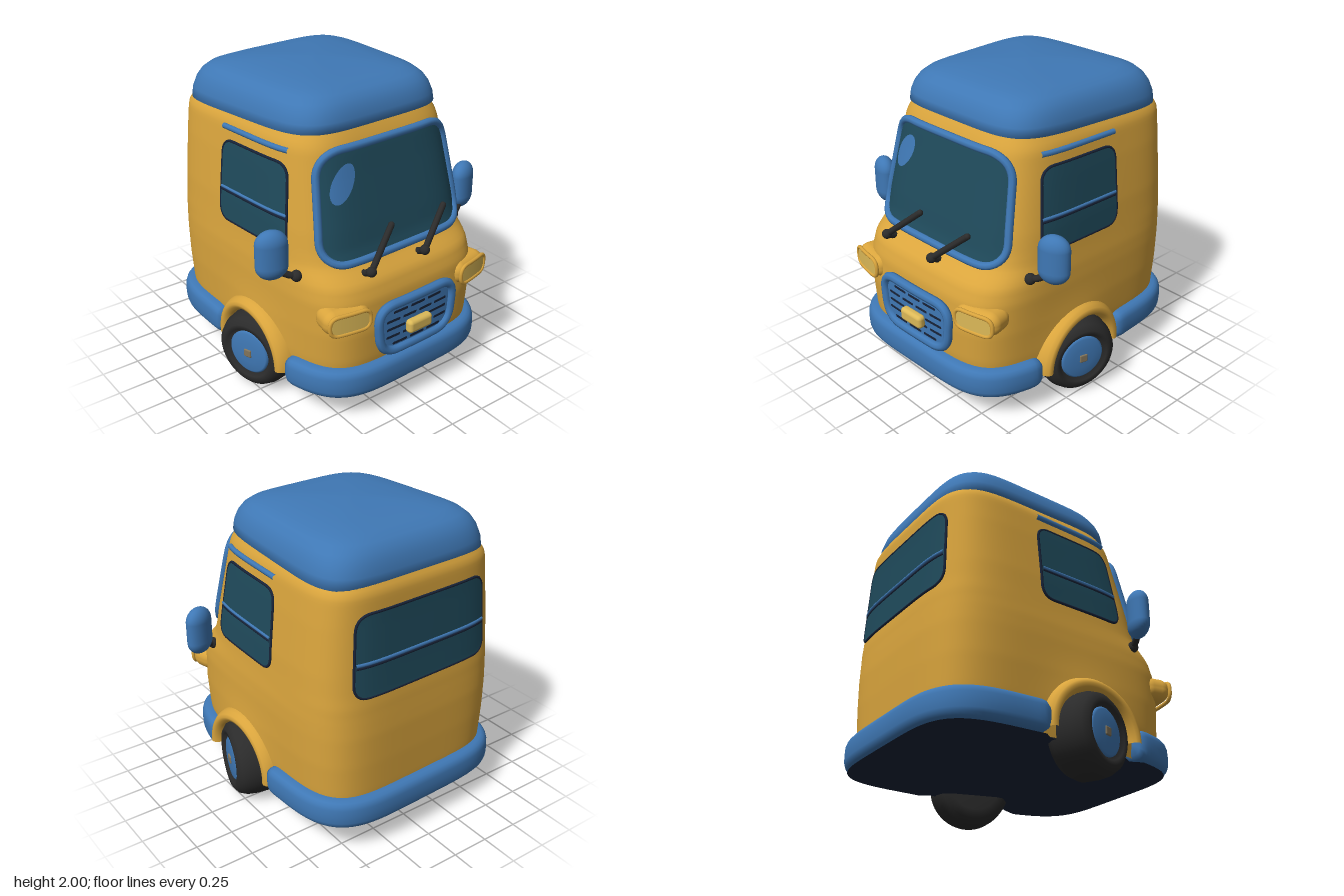
import * as THREE from 'three';
import { RoundedBoxGeometry } from 'three/addons/geometries/RoundedBoxGeometry.js';

const V = (x, y, z) => new THREE.Vector3(x, y, z);
const lerp = THREE.MathUtils.lerp;
const mat = (name, color) => Object.assign(new THREE.MeshStandardMaterial({ color }), { name });

// Body levels: y, rear x, front x, rear half width, front half width
const LEVELS = [
  [0.19, -0.83, 0.81, 0.685, 0.63], [0.4, -0.845, 0.84, 0.71, 0.65], [0.6, -0.85, 0.85, 0.725, 0.66],
  [0.8, -0.85, 0.835, 0.73, 0.665], [0.9, -0.845, 0.80, 0.73, 0.66], [0.95, -0.842, 0.75, 0.727, 0.655],
  [1.0, -0.84, 0.70, 0.725, 0.65], [1.08, -0.832, 0.67, 0.72, 0.645], [1.2, -0.825, 0.645, 0.715, 0.635],
  [1.5, -0.81, 0.575, 0.69, 0.60], [1.66, -0.805, 0.54, 0.67, 0.58], [1.7, -0.80, 0.525, 0.66, 0.57],
  [1.74, -0.775, 0.505, 0.63, 0.55], [1.84, -0.72, 0.45, 0.57, 0.5],
];
const N = 5;
const root = (q) => Math.pow(Math.max(0, 1 - Math.abs(q) ** N), 1 / N);

function level(y) {
  let i = 0;
  while (i < LEVELS.length - 2 && y > LEVELS[i + 1][0]) i++;
  const [a, b] = [LEVELS[i], LEVELS[i + 1]];
  const k = THREE.MathUtils.clamp((y - a[0]) / (b[0] - a[0]), 0, 1);
  const [, r, f, wr, wf] = a.map((v, j) => lerp(v, b[j], k));
  return { mid: (r + f) / 2, half: (f - r) / 2, width: (u) => lerp(wr, wf, (u + 1) / 2) };
}
// Squarish unit outline at angle t
function squircle(t) {
  const c = Math.cos(t), s = Math.sin(t), k = (Math.abs(c) ** N + Math.abs(s) ** N) ** (-1 / N);
  return [c * k, s * k];
}
function bodyPoint(y, t) {
  const L = level(y), [u, v] = squircle(t), x = L.mid + L.half * u;
  const flare = 0.05 * Math.exp(-((x - 0.13) ** 2 + (y - 0.3) ** 2) / 0.08) * v ** 4;
  return V(x, y, v * L.width(u) + Math.sign(v) * flare);
}
// Body surface positions for fitting windows and trim
function endX(y, z, dir) {
  const L = level(y);
  let u = dir;
  for (let i = 0; i < 10; i++) u = dir * root(z / L.width(u));
  return L.mid + L.half * u;
}
function sideZ(x, y) {
  const L = level(y), u = (x - L.mid) / L.half;
  return root(u) * L.width(u);
}

function geometry(points, index) {
  const g = new THREE.BufferGeometry().setFromPoints(points);
  g.setIndex(index);
  g.computeVertexNormals();
  return g;
}
// Skin over a list of closed rings
function loft(rings, caps = true) {
  const n = rings[0].length, pts = rings.flat(), idx = [];
  for (let i = 0; i < rings.length - 1; i++) for (let j = 0; j < n; j++) {
    const a = i * n + j, b = i * n + (j + 1) % n, c = a + n, d = b + n;
    idx.push(a, c, b, b, c, d);
  }
  if (caps) [0, rings.length - 1].forEach((r) => {
    const o = pts.length;
    pts.push(rings[r].reduce((s, p) => s.add(p), V(0, 0, 0)).divideScalar(n));
    for (let j = 0; j < n; j++) {
      const a = r * n + j, b = r * n + (j + 1) % n;
      idx.push(o, ...(r ? [b, a] : [a, b]));
    }
  });
  return geometry(pts, idx);
}
// Polygon with rounded corners, as evenly spaced 2D points
function rounded(corners, r, count = 72) {
  const P = corners.map(([a, b]) => new THREE.Vector2(a, b)), s = new THREE.Shape();
  P.forEach((p, i) => {
    const toward = (q) => p.clone().add(q.clone().sub(p).setLength(r));
    const a = toward(P[(i + 3) % 4]), b = toward(P[(i + 1) % 4]);
    i ? s.lineTo(a.x, a.y) : s.moveTo(a.x, a.y);
    s.quadraticCurveTo(p.x, p.y, b.x, b.y);
  });
  s.closePath();
  return s.getSpacedPoints(count).slice(0, count);
}
const rect = (a0, a1, b0, b1) => [[a0, b0], [a1, b0], [a1, b1], [a0, b1]];
// Filled outline laid over a surface, facing the given direction
function patch(outline, map, out) {
  const n = outline.length, K = 12, pts = [], idx = [];
  const c = outline.reduce((s, p) => s.add(p), new THREE.Vector2()).divideScalar(n);
  for (let k = 0; k <= K; k++) for (const p of outline) pts.push(map(lerp(c.x, p.x, k / K), lerp(c.y, p.y, k / K)));
  for (let k = 0; k < K; k++) for (let j = 0; j < n; j++) {
    const a = k * n + j, b = k * n + (j + 1) % n;
    idx.push(a, a + n, b + n);
    if (k) idx.push(a, b + n, b);
  }
  const normal = pts[n].clone().sub(pts[0]).cross(pts[n + 9].clone().sub(pts[0]));
  if (normal.dot(out) < 0) idx.reverse();
  return geometry(pts, idx);
}
const tube = (pts, r, closed = false) =>
  new THREE.TubeGeometry(new THREE.CatmullRomCurve3(pts, closed), closed ? 120 : 24, r, 8, closed);

export function createModel() {
  const yellow = mat('body yellow', 0xdaa53d), blue = mat('trim blue', 0x3f78b5);
  const glass = mat('window glass', 0x1f4a5b), navy = mat('dark navy', 0x182338);
  const black = mat('rubber black', 0x2b2b2b), pale = mat('lamp cream', 0xdcb958), bolt = mat('bolt brown', 0x82745a);
  const car = new THREE.Group();
  car.name = 'van';
  const add = (name, geo, m, parent = car) => {
    const mesh = new THREE.Mesh(geo, m);
    mesh.name = name;
    parent.add(mesh);
    return mesh;
  };
  const ring = (f) => Array.from({ length: 128 }, (_, j) => f(j / 128 * Math.PI * 2));

  // Cabin shell, and a floor reaching under the bumpers
  const ys = Array.from({ length: 67 }, (_, i) => 0.19 + i * 0.025);
  add('bodyShell', loft(ys.map((y) => ring((t) => bodyPoint(y, t))), false), yellow);
  const floorY = (x) => (x > 0.4 ? 0.165 : 0.185);
  const base = ring((t) => {
    const p = bodyPoint(0.19, t), k = Math.abs(p.x - 0.12) > 0.33 ? 1.07 : 1;
    return V(p.x * k, floorY(p.x), p.z * k);
  });
  add('floor', geometry([V(0, 0.185, 0), ...base], base.flatMap((_, j) => [0, j + 1, (j + 1) % 128 + 1])), navy);

  // Domed roof cap
  const roofRows = [[0.05, 1.735], [0, 1.74], [0.012, 1.8], [0.045, 1.86], [0.09, 1.905], [0.155, 1.94],
    [0.27, 1.967], [0.48, 1.986], [0.75, 1.997], [0.97, 2]];
  add('roof', loft(roofRows.map(([d, y]) => ring((t) => {
    const [u, v] = squircle(t), k = 1 - d;
    return V(-0.135 + 0.645 * u * k, y + 0.02 * u * (2 - y) * 4, v * k * lerp(0.65, 0.565, (u + 1) / 2));
  }))), blue);

  // Wraparound bumpers
  function bumper(name, t0, t1, drop) {
    const steps = 80, rings = [];
    for (let i = 0; i <= steps; i++) {
      const t = lerp(t0, t1, i / steps), e = Math.min(i, steps - i) / 3;
      const size = e >= 1 ? 1 : 0.7 + 0.3 * Math.sqrt(1 - (1 - e) ** 2);
      const p = bodyPoint(0.29, t);
      const T = bodyPoint(0.29, t - 0.02).sub(bodyPoint(0.29, t + 0.02)).normalize();
      const out = T.clone().cross(V(0, 1, 0));
      rings.push(Array.from({ length: 20 }, (_, j) => {
        const a = j / 20 * Math.PI * 2, sq = (q) => Math.sign(q) * Math.abs(q) ** 0.65;
        return p.clone().addScaledVector(out, 0.08 * size * sq(Math.cos(a)))
          .add(V(0, 0.1 * size * sq(Math.sin(a)) - drop, 0));
      }));
    }
    add(name, loft(rings), blue);
  }
  bumper('frontBumper', 1.07, -1.07, 0.02);
  bumper('rearBumper', -1.81, -2 * Math.PI + 1.81, 0);

  // Windscreen and rear window
  const onEnd = (dir, off) => (z, y) => V(endX(y, z, dir) + dir * off, y, z);
  const screen = rounded([[-0.56, 1.01], [0.56, 1.01], [0.49, 1.67], [-0.49, 1.67]], 0.16);
  add('windscreen', patch(screen, onEnd(1, 0.014), V(1, 0, 0)), glass);
  add('windscreenFrame', tube(screen.map((p) => onEnd(1, 0.012)(p.x, p.y)), 0.025, true), blue);
  const shine = Array.from({ length: 32 }, (_, i) => {
    const a = i / 16 * Math.PI;
    return new THREE.Vector2(0.365 + 0.09 * Math.cos(a), 1.475 + 0.095 * Math.sin(a) - 0.06 * Math.cos(a));
  });
  add('glassShine', patch(shine, onEnd(1, 0.02), V(1, 0, 0)), blue);
  const rear = rounded([[-0.52, 1.06], [0.52, 1.06], [0.49, 1.58], [-0.49, 1.58]], 0.1);
  add('rearWindow', patch(rear, onEnd(-1, 0.008), V(-1, 0, 0)), glass);
  add('rearWindowFrame', tube(rear.map((p) => onEnd(-1, 0.002)(p.x, p.y)), 0.009, true), navy);
  const rearRail = (y, off) => Array.from({ length: 15 }, (_, i) => onEnd(-1, off)(lerp(-0.5, 0.5, i / 14), y));
  add('rearWindowRail', tube(rearRail(1.28, 0.005), 0.012), blue);
  add('rearWindowRailShadow', tube(rearRail(1.26, 0.003), 0.01), navy);

  // Grille: frame, slotted plate and badge plate
  const grille = rounded([[-0.285, 0.41], [0.285, 0.41], [0.315, 0.735], [-0.315, 0.735]], 0.13);
  const onGrille = (off) => (z, y) => V(0.855 + off - 0.1 * z * z, y, z);
  add('grillePlate', patch(grille, onGrille(0.014), V(1, 0, 0)), blue);
  add('grilleFrame', tube(grille.map((p) => onGrille(0.012)(p.x, p.y)), 0.03, true), blue);
  [0.46, 0.515, 0.57, 0.625, 0.68].forEach((y, row) => {
    const n = row % 2 ? 4 : 3, w = row === 0 || row === 4 ? 0.42 : 0.52;
    for (let i = 0; i < n; i++) {
      const a = -w / 2 + i * w / n, slot = rounded(rect(a + 0.012, a + w / n - 0.012, y - 0.009, y + 0.009), 0.006, 24);
      add('grilleSlot', patch(slot, onGrille(0.019), V(1, 0, 0)), navy);
    }
  });
  add('badgePlate', new RoundedBoxGeometry(0.06, 0.09, 0.19, 4, 0.025), pale).position.set(0.888, 0.545, 0.0);

  // Wipers
  for (const z of [0.325, -0.105]) {
    const a = V(0.805, 0.98, z), b = V(0.715, 1.18, z - 0.23);
    add('wiperArm', tube([a, a.clone().lerp(b, 0.5), b], 0.02), black);
    add('wiperTip', new THREE.SphereGeometry(0.02, 12, 8), black).position.copy(b);
    add('wiperPivot', new THREE.SphereGeometry(0.032, 16, 12), black).position.copy(a);
    add('wiperPost', tube([a, V(0.75, 0.95, z), V(0.68, 0.93, z)], 0.022), black);
  }

  // Parts repeated on both sides
  for (const s of [1, -1]) {
    const onSide = (off) => (x, y) => V(x, y, s * (sideZ(x, y) + off));
    const win = rounded([[-0.22, 1.065], [0.41, 1.065], [0.355, 1.58], [-0.22, 1.58]], 0.09);
    add('sideWindow', patch(win, onSide(0.008), V(0, 0, s)), glass);
    add('sideWindowFrame', tube(win.map((p) => onSide(0.002)(p.x, p.y)), 0.009, true), navy);
    const bar = (x0, x1, y, off) => Array.from({ length: 12 }, (_, i) => onSide(off)(lerp(x0, x1, i / 11), y));
    add('sideWindowRail', tube(bar(-0.21, 0.39, 1.275, 0.005), 0.011), blue);
    add('sideWindowRailShadow', tube(bar(-0.21, 0.39, 1.257, 0.003), 0.01), navy);
    add('rainGutter', tube(bar(-0.22, 0.35, 1.66, 0.004), 0.018), blue);

    // Wheel, toed in toward the front, with a sunken hub cap
    const wheel = new THREE.Group();
    wheel.name = 'wheel';
    wheel.position.set(0.115, 0.26, s * 0.65);
    wheel.rotation.y = s * 0.3 + (s < 0 ? Math.PI : 0);
    car.add(wheel);
    const tyre = [[0, -0.15], [0.17, -0.15], [0.225, -0.13], [0.255, -0.08], [0.26, 0], [0.255, 0.07],
      [0.235, 0.12], [0.2, 0.148], [0.17, 0.145], [0.145, 0.115], [0, 0.115]];
    const disc = [[0.15, 0.1], [0.149, 0.125], [0.135, 0.135], [0.07, 0.141], [0, 0.143]];
    const spin = (pts) => new THREE.LatheGeometry(pts.map(([r, h]) => new THREE.Vector2(r, h)), 48).rotateX(Math.PI / 2);
    add('tyre', spin(tyre), black, wheel);
    add('hubCap', spin(disc), blue, wheel);
    add('hubBolt', new RoundedBoxGeometry(0.055, 0.055, 0.02, 3, 0.008), bolt, wheel).position.z = 0.14;

    // Wheel arch lip
    const arch = add('wheelArch', new THREE.TorusGeometry(0.305, 0.055, 16, 48, Math.PI * 1.02), yellow);
    arch.scale.z = 2;
    arch.position.set(0.115, 0.25, s * 0.65);

    // Headlamp with rim and lens
    const lamp = new THREE.Group();
    lamp.name = 'headlamp';
    lamp.position.set(0.768, 0.72, s * 0.495);
    lamp.rotation.y = -s * 0.2;
    car.add(lamp);
    const shell = add('lampHousing', new RoundedBoxGeometry(0.2, 0.155, 0.31, 6, 0.07), yellow, lamp);
    shell.position.x = -0.02;
    const lens = rounded(rect(-0.135, 0.135, -0.063, 0.063), 0.06, 48);
    add('lampLens', patch(lens, (z, y) => V(0.084 - z * z * 0.4, y, z), V(1, 0, 0)), pale, lamp);
    add('lampRim', tube(lens.map((p) => V(0.08 - p.x * p.x * 0.4, p.y, p.x)), 0.013, true), yellow, lamp);

    // Wing mirror on its arm
    const mirror = add('wingMirror', new THREE.CapsuleGeometry(0.09, 0.14, 10, 28), blue);
    mirror.scale.set(0.72, 1, 1.12);
    mirror.position.set(0.45, 1.1, s * 0.783);
    mirror.rotation.y = -s * 0.35;
    add('mirrorArm', tube([V(0.5, 0.94, s * 0.62), V(0.5, 0.95, s * 0.68), V(0.47, 0.99, s * 0.75)], 0.022), black);
    add('mirrorFoot', new THREE.SphereGeometry(0.036, 16, 12), black).position.set(0.51, 0.94, s * 0.65);
  }

  car.rotation.y = 0.037;
  car.position.z = 0.016;
  const model = new THREE.Group();
  model.name = 'model';
  model.add(car);
  return model;
}
